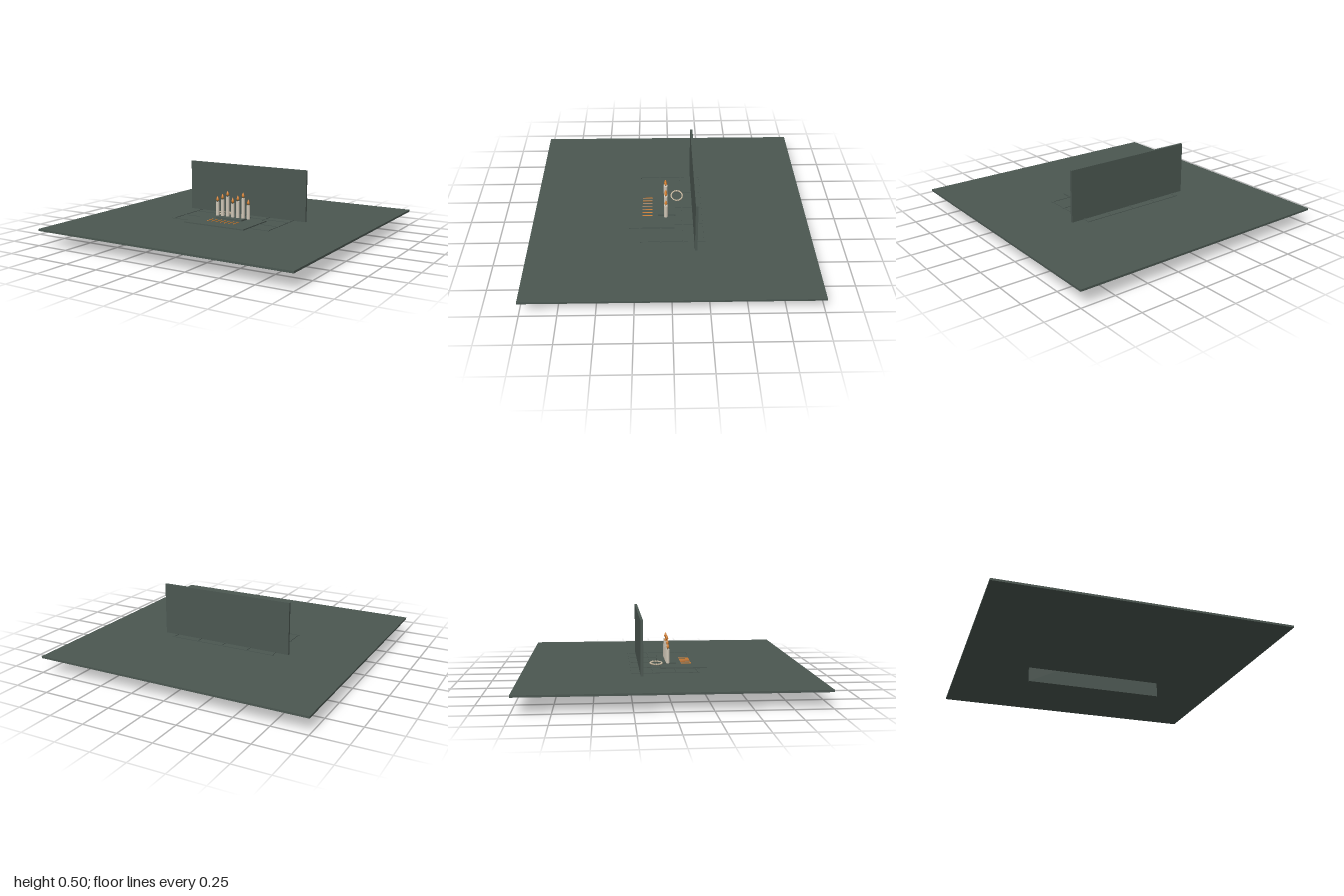
import * as THREE from 'three';

const material = (name, color) => {
  const m = new THREE.MeshStandardMaterial({ color });
  m.name = name;
  return m;
};

export function createModel() {
  const model = new THREE.Group();
  model.name = 'candleShrine';
  const stone = material('dark green stone', 0x4b5751);
  const wax = material('ivory wax', 0xcfc6b6);
  const flameOrange = material('flame orange', 0xd9822f);
  const wickBrown = material('wick brown', 0x3a2a1e);
  const beadTan = material('bead tan', 0xc4b59c);

  const add = (name, geometry, mat, x, y, z, parent = model) => {
    const mesh = new THREE.Mesh(geometry, mat);
    mesh.name = name;
    mesh.position.set(x, y, z);
    parent.add(mesh);
    return mesh;
  };
  const group = (name) => {
    const g = new THREE.Group();
    g.name = name;
    model.add(g);
    return g;
  };
  // Box given by its lowest y
  const box = (name, w, h, d, x, y, z, parent) =>
    add(name, new THREE.BoxGeometry(w, h, d), stone, x, y + h / 2, z, parent);

  // Ground slab, back wall that passes through it, mat and candle tray
  box('floor', 2, 0.014, 2, 0, 0.107, 0);
  box('backWall', 1, 0.5, 0.018, 0, 0, -0.175);
  box('mat', 0.5, 0.008, 0.33, 0, 0.121, 0.135);
  box('tray', 0.22, 0.012, 0.13, 0, 0.128, 0.025);

  // Raised paving strips around the mat
  const paving = group('pavingStrips');
  for (const z of [-0.24, -0.09, 0.07, 0.22]) box('crossStrip', 0.82, 0.004, 0.01, 0, 0.121, z, paving);
  for (const x of [-0.4, -0.2, 0, 0.2, 0.4]) box('lengthStrip', 0.01, 0.004, 0.47, x, 0.121, -0.01, paving);

  // Row of seven candles with teardrop flames
  const candles = group('candles');
  const flameProfile = [[0, 0], [0.007, 0.006], [0.0105, 0.015], [0.007, 0.027], [0.003, 0.036], [0, 0.042]]
    .map(([r, y]) => new THREE.Vector2(r, y));
  const flameShape = new THREE.LatheGeometry(flameProfile, 12);
  const wickShape = new THREE.CylinderGeometry(0.002, 0.002, 0.012, 6);
  const heights = [0.1, 0.122, 0.148, 0.1, 0.122, 0.148, 0.1];
  heights.forEach((h, i) => {
    const x = (i - 3) * 0.0443;
    const top = 0.14 + h;
    add('candle', new THREE.CylinderGeometry(0.0135, 0.0135, h, 16), wax, x, 0.14 + h / 2, 0.03, candles);
    add('wick', wickShape, wickBrown, x, top + 0.005, 0.03, candles);
    add('flame', flameShape, flameOrange, x, top + 0.004, 0.03, candles);
  });

  // Oval string of beads
  const beads = group('beadString');
  const beadShape = new THREE.SphereGeometry(0.0065, 10, 8);
  const count = 22;
  for (let i = 0; i < count; i++) {
    const a = (i / count) * Math.PI * 2;
    add('bead', beadShape, beadTan, -0.127 + 0.062 * Math.cos(a), 0.141, -0.055 + 0.042 * Math.sin(a), beads);
  }

  // Seven thin sticks laid side by side in front of the tray
  const sticks = group('incenseSticks');
  const stickShape = new THREE.CylinderGeometry(0.003, 0.003, 0.075, 8).rotateX(Math.PI / 2);
  for (let i = -3; i <= 3; i++) add('stick', stickShape, flameOrange, i * 0.0365, 0.132, 0.165, sticks);

  return model;
}
